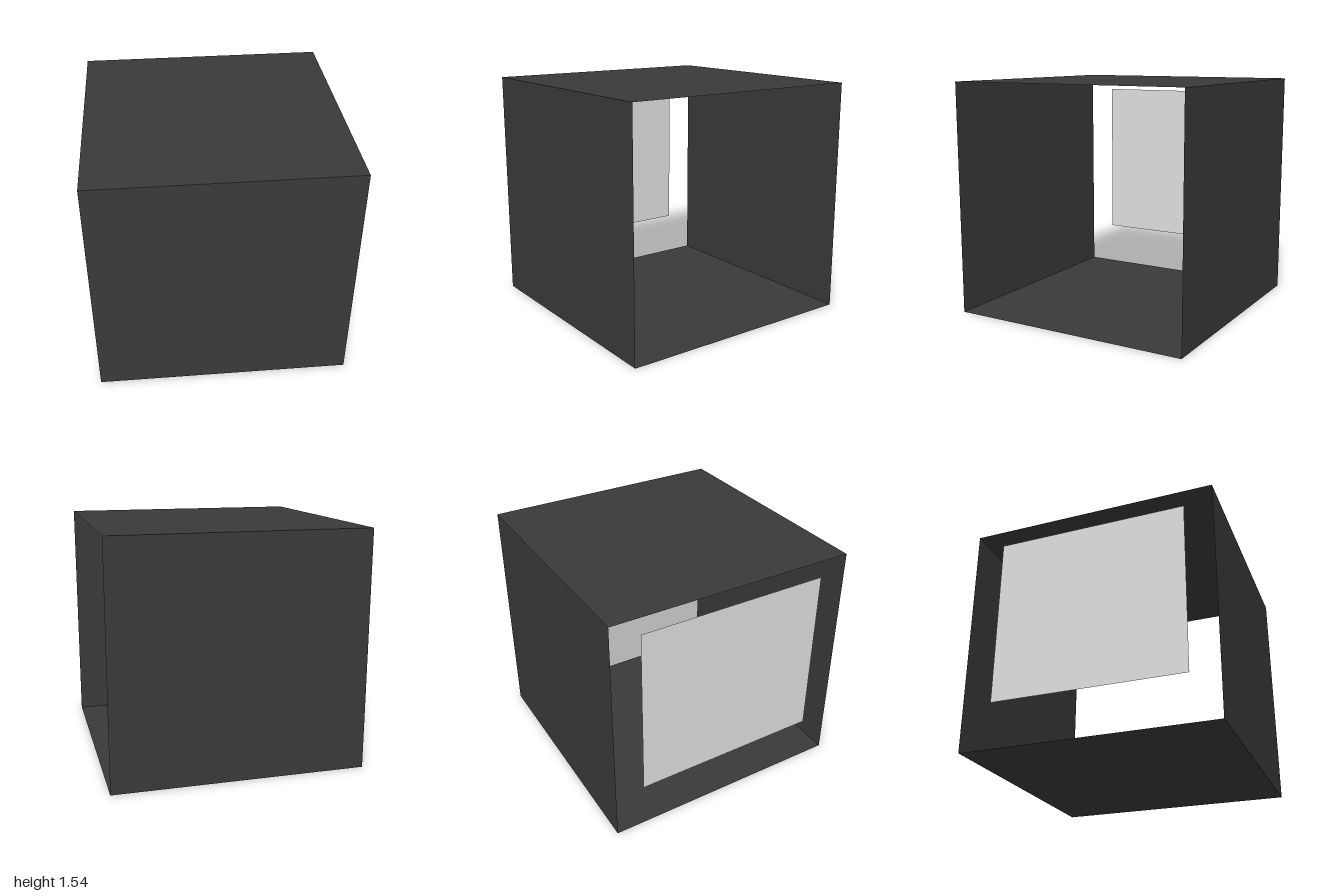
import * as THREE from 'three';

export function createModel() {
  const side = 0.815; // half the width of the square shell
  const height = 1.54;

  const shellGrey = new THREE.MeshStandardMaterial({ color: 0x3a3a3a, side: THREE.DoubleSide });
  shellGrey.name = 'shellGrey';
  const paneGrey = new THREE.MeshStandardMaterial({ color: 0xdfdfdf, side: THREE.DoubleSide });
  paneGrey.name = 'paneGrey';

  const model = new THREE.Group();
  model.name = 'openBox';
  model.rotation.y = -Math.atan2(0.425, 1.575);

  const addSheet = (name, material, w, h, position, rx = 0, ry = 0) => {
    const mesh = new THREE.Mesh(new THREE.PlaneGeometry(w, h), material);
    mesh.name = name;
    mesh.position.set(...position);
    mesh.rotation.set(rx, ry, 0);
    model.add(mesh);
  };

  // Thin shell, open on its left and right sides
  addSheet('frontWall', shellGrey, 2 * side, height, [0, height / 2, side]);
  addSheet('backWall', shellGrey, 2 * side, height, [0, height / 2, -side], 0, Math.PI);
  addSheet('roof', shellGrey, 2 * side, 2 * side, [0, height, 0], -Math.PI / 2);
  addSheet('floor', shellGrey, 2 * side, 2 * side, [0, 0, 0], Math.PI / 2);

  // Pane hanging in the right opening
  addSheet('pane', paneGrey, 1.255, 1.13, [-side, 0.865, 0.004], 0, -Math.PI / 2);

  const root = new THREE.Group();
  root.name = 'model';
  root.add(model);
  return root;
}
